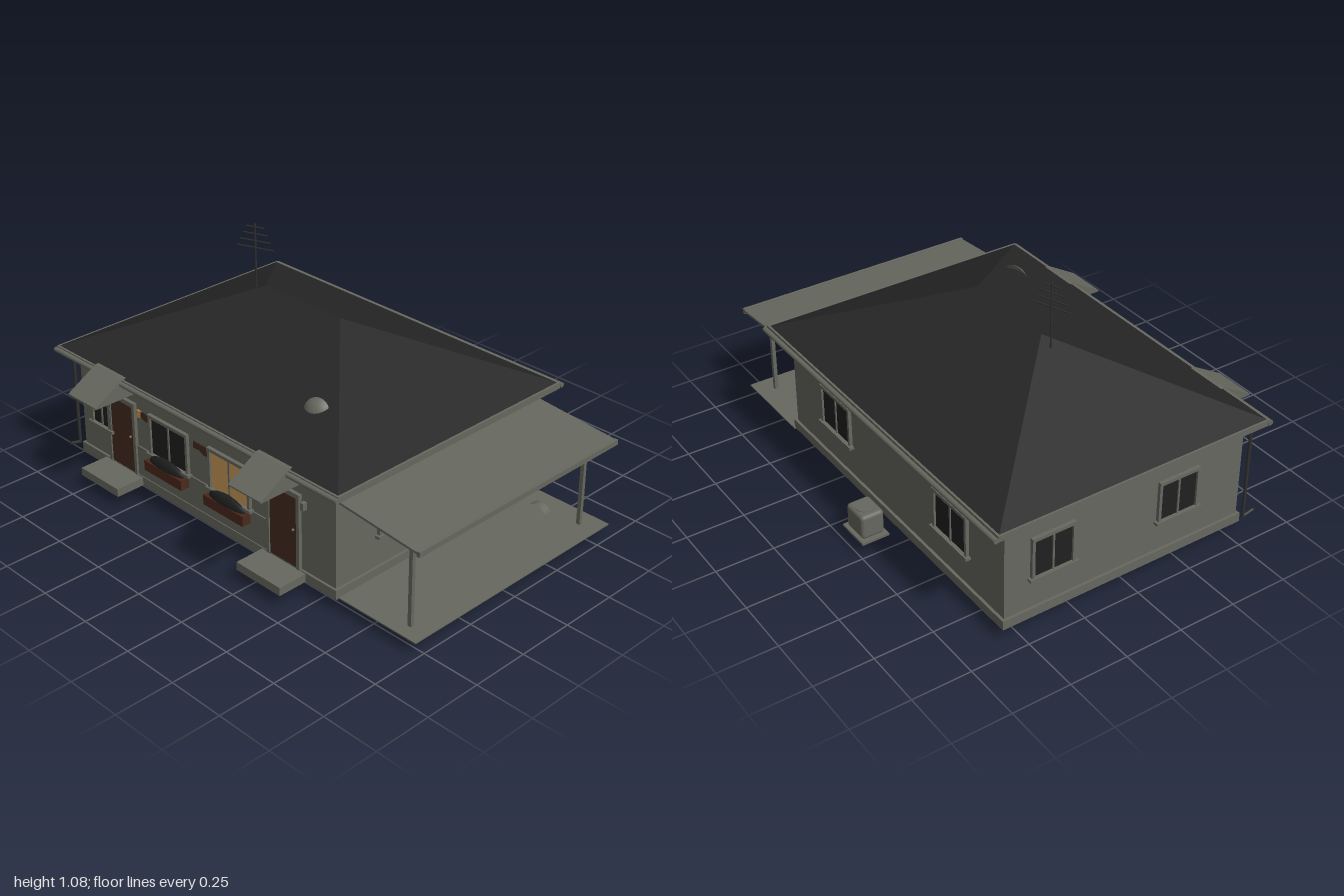
import * as THREE from 'three';
import { RoundedBoxGeometry } from 'three/addons/geometries/RoundedBoxGeometry.js';

const mat = (name, color, extra = {}) => {
  const m = new THREE.MeshStandardMaterial({ color, ...extra });
  m.name = name;
  return m;
};

export function createModel() {
  const plaster = mat('plaster grey', 0x66675e);
  const metal = mat('metal grey', 0x66675e, { side: THREE.DoubleSide });
  const dark = mat('roof black', 0x262626);
  const glass = mat('dark glass', 0x202020);
  const wood = mat('door brown', 0x432a20);
  const planterWood = mat('planter brown', 0x4a281c);
  const glow = mat('warm window', 0xc89855);
  const leaf = mat('dark foliage', 0x1d1f1d);
  const thinMetal = mat('antenna grey', 0x30302e);

  const model = new THREE.Group();
  model.name = 'house';

  const add = (name, geo, m, parent = model) => {
    const mesh = new THREE.Mesh(geo, m);
    mesh.name = name;
    parent.add(mesh);
    return mesh;
  };
  // Box given by its limits on each axis
  const box = (name, x0, x1, y0, y1, z0, z1, m = plaster, parent = model) => {
    const mesh = add(name, new THREE.BoxGeometry(x1 - x0, y1 - y0, z1 - z0), m, parent);
    mesh.position.set((x0 + x1) / 2, (y0 + y1) / 2, (z0 + z1) / 2);
    return mesh;
  };
  // Round bar between two points
  const bar = (name, a, b, r, m = plaster, parent = model, sides = 10) => {
    const p = new THREE.Vector3(...a), q = new THREE.Vector3(...b);
    const d = q.clone().sub(p);
    const mesh = add(name, new THREE.CylinderGeometry(r, r, d.length(), sides), m, parent);
    mesh.position.copy(p).add(q).multiplyScalar(0.5);
    mesh.quaternion.setFromUnitVectors(new THREE.Vector3(0, 1, 0), d.normalize());
    return mesh;
  };

  // Walls and plinth
  box('walls', -0.925, 0.59, 0.09, 0.535, -0.56, 0.54);
  box('plinth', -0.937, 0.602, 0.055, 0.095, -0.572, 0.55);
  box('frontWainscot', -0.565, 0.23, 0.095, 0.23, 0.54, 0.546);

  // Hip roof
  const A = [-0.99, 0.547, 0.597], B = [0.658, 0.547, 0.597], C = [0.658, 0.547, -0.628],
    D = [-0.99, 0.547, -0.628], E = [-0.38, 0.827, -0.015], F = [0.046, 0.827, -0.015];
  const roofGeo = new THREE.BufferGeometry();
  const tris = [A, B, F, A, F, E, B, C, F, C, D, E, C, E, F, D, A, E, A, D, C, A, C, B];
  roofGeo.setAttribute('position', new THREE.Float32BufferAttribute(tris.flat(), 3));
  roofGeo.computeVertexNormals();
  add('roof', roofGeo, dark);

  // Eaves: fascia boards and gutters
  box('soffit', -0.985, 0.655, 0.527, 0.546, -0.622, 0.592, dark);
  for (const [z0, z1] of [[0.59, 0.602], [-0.633, -0.62]]) box('fascia', -0.992, 0.662, 0.523, 0.549, z0, z1);
  for (const [x0, x1] of [[-0.994, -0.984], [0.654, 0.664]]) box('sideFascia', x0, x1, 0.523, 0.549, -0.633, 0.602);
  for (const z of [0.606, -0.643]) bar('gutter', [-0.997, 0.534, z], [0.666, 0.534, z], 0.011);

  // Windows: frame, panes, mullion and sill, facing +z before turning
  const addWindow = (x, z, turn, w, pane = glass) => {
    const g = new THREE.Group();
    g.name = 'window';
    g.position.set(x, 0, z);
    g.rotation.y = turn;
    model.add(g);
    const h = w / 2, t = 0.013;
    box('pane', -h, h, 0.235, 0.402, 0, 0.005, pane, g);
    for (const s of [-1, 1]) {
      const e = s * (h + t / 2);
      box('sideFrame', e - t / 2, e + t / 2, 0.23, 0.402, 0, 0.014, plaster, g);
    }
    box('topFrame', -h - t, h + t, 0.4, 0.414, 0, 0.016, plaster, g);
    box('mullion', -0.004, 0.004, 0.235, 0.402, 0, 0.01, plaster, g);
    box('sill', -h - 0.024, h + 0.024, 0.224, 0.236, 0, 0.022, plaster, g);
  };
  addWindow(-0.787, 0.54, 0, 0.11);
  addWindow(-0.352, 0.54, 0, 0.215);
  addWindow(0.012, 0.54, 0, 0.215, glow);
  for (const z of [0.228, -0.35]) {
    addWindow(0.59, z, Math.PI / 2, 0.168);
    addWindow(-0.925, z, -Math.PI / 2, 0.168);
  }
  for (const x of [0.24, -0.59]) addWindow(x, -0.56, Math.PI, 0.2);

  // Entrances: door, frame, step and wedge awning
  for (const x of [-0.65, 0.318]) {
    box('door', x - 0.075, x + 0.075, 0.093, 0.406, 0.54, 0.549, wood);
    for (const s of [-1, 1]) {
      const e = x + s * 0.083;
      box('doorFrame', e - 0.008, e + 0.008, 0.093, 0.406, 0.54, 0.555);
    }
    box('doorLintel', x - 0.093, x + 0.093, 0.404, 0.424, 0.54, 0.556);
    const knob = add('doorKnob', new THREE.SphereGeometry(0.006, 10, 8), metal);
    knob.position.set(x + 0.058, 0.26, 0.554);
    box('step', x - 0.12, x + 0.12, 0.055, 0.091, 0.545, 0.682);
    const profile = new THREE.Shape();
    profile.moveTo(-0.738, 0.467);
    profile.lineTo(-0.535, 0.467);
    profile.lineTo(-0.535, 0.553);
    profile.lineTo(-0.597, 0.555);
    profile.lineTo(-0.738, 0.473);
    const awning = add('awning', new THREE.ExtrudeGeometry(profile, { depth: 0.178, bevelEnabled: false }), plaster);
    awning.rotation.y = Math.PI / 2;
    awning.position.x = x - 0.089;
  }
  box('wallLamp', 0.422, 0.438, 0.37, 0.402, 0.54, 0.56);

  // Small hanging cloths beside the front windows
  const cloth = (name, pts, m) => {
    const s = new THREE.Shape(pts.map(p => new THREE.Vector2(...p)));
    add(name, new THREE.ExtrudeGeometry(s, { depth: 0.006, bevelEnabled: false }), m).position.z = 0.54;
  };
  cloth('lightCloth', [[-0.55, 0.4], [-0.55, 0.365], [-0.527, 0.37], [-0.527, 0.4]], glow);
  cloth('brownCloth', [[-0.527, 0.4], [-0.527, 0.375], [-0.5, 0.365], [-0.475, 0.365], [-0.475, 0.4]], wood);
  cloth('brownCloth', [[-0.2, 0.4], [-0.2, 0.37], [-0.165, 0.372], [-0.14, 0.36], [-0.11, 0.36], [-0.11, 0.4]], wood);

  // Window planters
  for (const x of [-0.35, 0.015]) {
    box('planter', x - 0.115, x + 0.115, 0.173, 0.218, 0.54, 0.588, planterWood);
    const bush = add('foliage', new THREE.SphereGeometry(1, 14, 8), leaf);
    bush.scale.set(0.105, 0.04, 0.022);
    bush.position.set(x, 0.217, 0.566);
  }

  // Carport: slab, sloping roof, beam and posts
  box('carportSlab', 0.59, 0.99, 0.055, 0.06, -0.58, 0.537);
  const slope = Math.atan2(0.034, 0.4);
  const canopy = add('carportRoof', new THREE.BoxGeometry(0.405, 0.01, 1.117), plaster);
  canopy.position.set(0.792, 0.455, -0.0215);
  canopy.rotation.z = -slope;
  box('carportGutter', 0.982, 0.998, 0.425, 0.447, -0.58, 0.537);
  box('carportBeam', 0.895, 0.915, 0.413, 0.442, -0.5, 0.48);
  for (const z of [0.472, -0.498]) box('carportPost', 0.897, 0.914, 0.058, 0.43, z - 0.008, z + 0.008);

  // Hose reel in the carport
  const reel = add('hoseReel', new THREE.CylinderGeometry(0.05, 0.05, 0.036, 24, 1, true), plaster);
  reel.rotation.x = Math.PI / 2;
  reel.position.set(0.74, 0.051, -0.448);

  // Downpipe at the front left corner
  bar('downpipe', [-0.953, 0.53, 0.551], [-0.953, 0.085, 0.551], 0.007, thinMetal);
  bar('downpipeFoot', [-0.953, 0.088, 0.549], [-0.953, 0.1, 0.603], 0.007, thinMetal);

  // Outdoor unit behind the house
  box('unitPad', -0.242, -0.092, 0.055, 0.065, -0.742, -0.622);
  add('outdoorUnit', new RoundedBoxGeometry(0.122, 0.108, 0.1, 4, 0.016), plaster).position.set(-0.167, 0.119, -0.682);
  const fan = add('unitFan', new THREE.CylinderGeometry(0.038, 0.038, 0.005, 20), plaster);
  fan.position.set(-0.167, 0.173, -0.682);

  // Antenna
  const antenna = new THREE.Group();
  antenna.name = 'antenna';
  antenna.position.set(-0.44, 0, -0.015);
  antenna.rotation.y = 0.36;
  model.add(antenna);
  bar('mast', [0, 0.78, 0], [0, 1.077, 0], 0.004, thinMetal, antenna, 8);
  [[0.974, 0.083], [1.004, 0.069], [1.034, 0.055], [1.064, 0.04]].forEach(([y, h]) =>
    bar('antennaBar', [-h, y, 0], [h, y, 0], 0.003, thinMetal, antenna, 6));

  // Satellite dish on the front slope
  const dish = add('satelliteDish', new THREE.SphereGeometry(0.075, 20, 8, 0, Math.PI * 2, 0, 0.8), metal);
  const axis = new THREE.Vector3(0.28, 0.35, 0.85).normalize();
  dish.quaternion.setFromUnitVectors(new THREE.Vector3(0, 1, 0), axis);
  dish.position.set(0.292, 0.652, 0.355).addScaledVector(axis, -0.06);

  return model;
}
